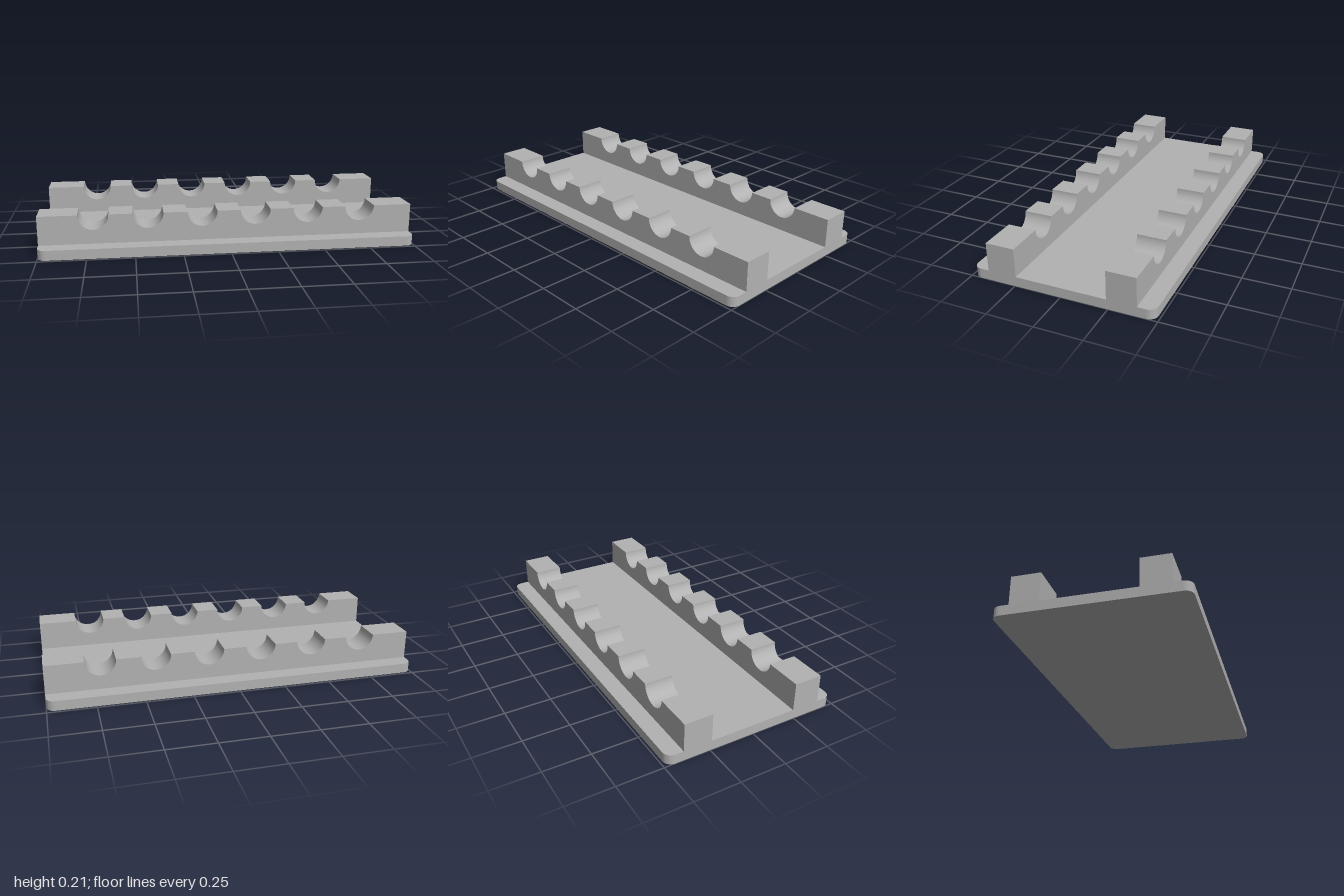
import * as THREE from 'three';
import { toCreasedNormals } from 'three/addons/utils/BufferGeometryUtils.js';

const BASE_H = 0.053, TOP = 0.208, HALF_D = 0.487, CORNER = 0.045;
const RAIL_Z = 0.3195, RAIL_W = 0.155;
const GROOVES = 6, PITCH = 0.2856, GROOVE_R = 0.08;

function extrude(shape, depth) {
  const geometry = new THREE.ExtrudeGeometry(shape, { depth, bevelEnabled: false, curveSegments: 20 });
  return toCreasedNormals(geometry, 0.6);
}

// Flat plate with rounded vertical corners
function plateGeometry() {
  const s = new THREE.Shape(), x = 1 - CORNER, z = HALF_D - CORNER;
  s.absarc(x, z, CORNER, 0, Math.PI / 2);
  s.absarc(-x, z, CORNER, Math.PI / 2, Math.PI);
  s.absarc(-x, -z, CORNER, Math.PI, Math.PI * 1.5);
  s.absarc(x, -z, CORNER, Math.PI * 1.5, Math.PI * 2);
  s.closePath();
  return extrude(s, BASE_H).rotateX(-Math.PI / 2);
}

// Rail with a row of half-round grooves cut into its top
function railGeometry() {
  const s = new THREE.Shape();
  s.moveTo(-1, BASE_H);
  s.lineTo(1, BASE_H);
  s.lineTo(1, TOP);
  for (let i = GROOVES - 1; i >= 0; i--) {
    const x = (i - (GROOVES - 1) / 2) * PITCH;
    s.lineTo(x + GROOVE_R, TOP);
    s.absarc(x, TOP, GROOVE_R, 0, -Math.PI, true);
  }
  s.lineTo(-1, TOP);
  s.closePath();
  return extrude(s, RAIL_W).translate(0, 0, -RAIL_W / 2);
}

export function createModel() {
  const group = new THREE.Group();
  group.name = 'groovedRack';
  const grey = new THREE.MeshStandardMaterial({ color: 0xb2b2b2 });
  grey.name = 'grey';

  const plate = new THREE.Mesh(plateGeometry(), grey);
  plate.name = 'basePlate';
  group.add(plate);

  const rail = railGeometry();
  for (const [name, side] of [['frontRail', 1], ['backRail', -1]]) {
    const mesh = new THREE.Mesh(rail, grey);
    mesh.name = name;
    mesh.position.z = side * RAIL_Z;
    group.add(mesh);
  }
  return group;
}
